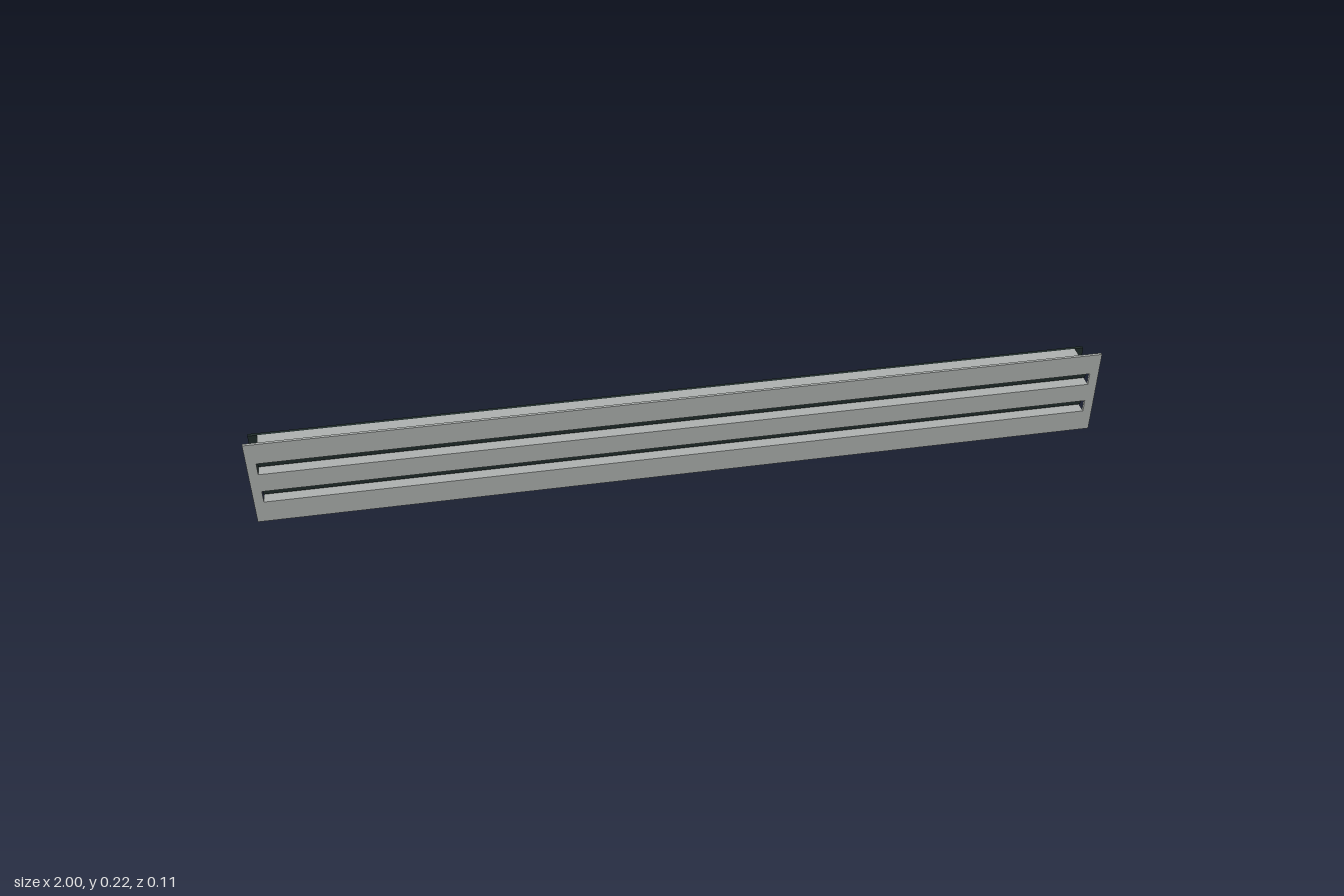
import * as THREE from 'three';

// Linear two-slot diffuser: face plate, channel walls, deflector blades, backing plate
export function createModel() {
  const group = new THREE.Group();
  const aluminium = new THREE.MeshStandardMaterial({ color: 0xaeb2b0 });
  aluminium.name = 'aluminium';
  const black = new THREE.MeshStandardMaterial({ color: 0x202c2b });
  black.name = 'black';

  const HALF = 0.978;          // half length of the channels
  const FRONT = 0.048, BACK = -0.0465;
  const slots = [[0.056, 0.087], [0.136, 0.167]]; // bottom and top of each slot

  function add(name, geometry, material) {
    const mesh = new THREE.Mesh(geometry, material);
    mesh.name = name;
    group.add(mesh);
    return mesh;
  }

  // Box given by its limits in y and z, centred on x
  function bar(name, halfLength, y0, y1, z0, z1, material) {
    const mesh = add(name, new THREE.BoxGeometry(halfLength * 2, y1 - y0, z1 - z0), material);
    mesh.position.set(0, (y0 + y1) / 2, (z0 + z1) / 2);
  }

  function rectangle(path, x, y0, y1) {
    path.moveTo(-x, y0);
    path.lineTo(x, y0);
    path.lineTo(x, y1);
    path.lineTo(-x, y1);
    path.closePath();
    return path;
  }

  // Face plate with two long slots
  const face = rectangle(new THREE.Shape(), 1, 0, 0.221);
  for (const [y0, y1] of slots) face.holes.push(rectangle(new THREE.Path(), HALF, y0, y1));
  const plate = add('facePlate', new THREE.ExtrudeGeometry(face, { depth: 0.0065, bevelEnabled: false }), aluminium);
  plate.position.z = FRONT;

  // Walls above and below each slot, and the blade inside it
  for (const [y0, y1] of slots) {
    bar('channelWallLower', HALF, y0 - 0.004, y0, BACK, FRONT, aluminium);
    bar('channelWallUpper', HALF, y1, y1 + 0.004, BACK, FRONT, aluminium);
    bar('deflectorBlade', HALF, y0 + 0.0055, y1 - 0.0045, 0.0255, 0.0335, black);
  }

  // Web closing the front of the middle channel
  bar('middleWeb', HALF, 0.091, 0.132, 0.0435, FRONT, aluminium);

  // Full-length backing plate
  bar('backingPlate', 1, 0.052, 0.171, -0.0545, BACK, black);

  return group;
}
